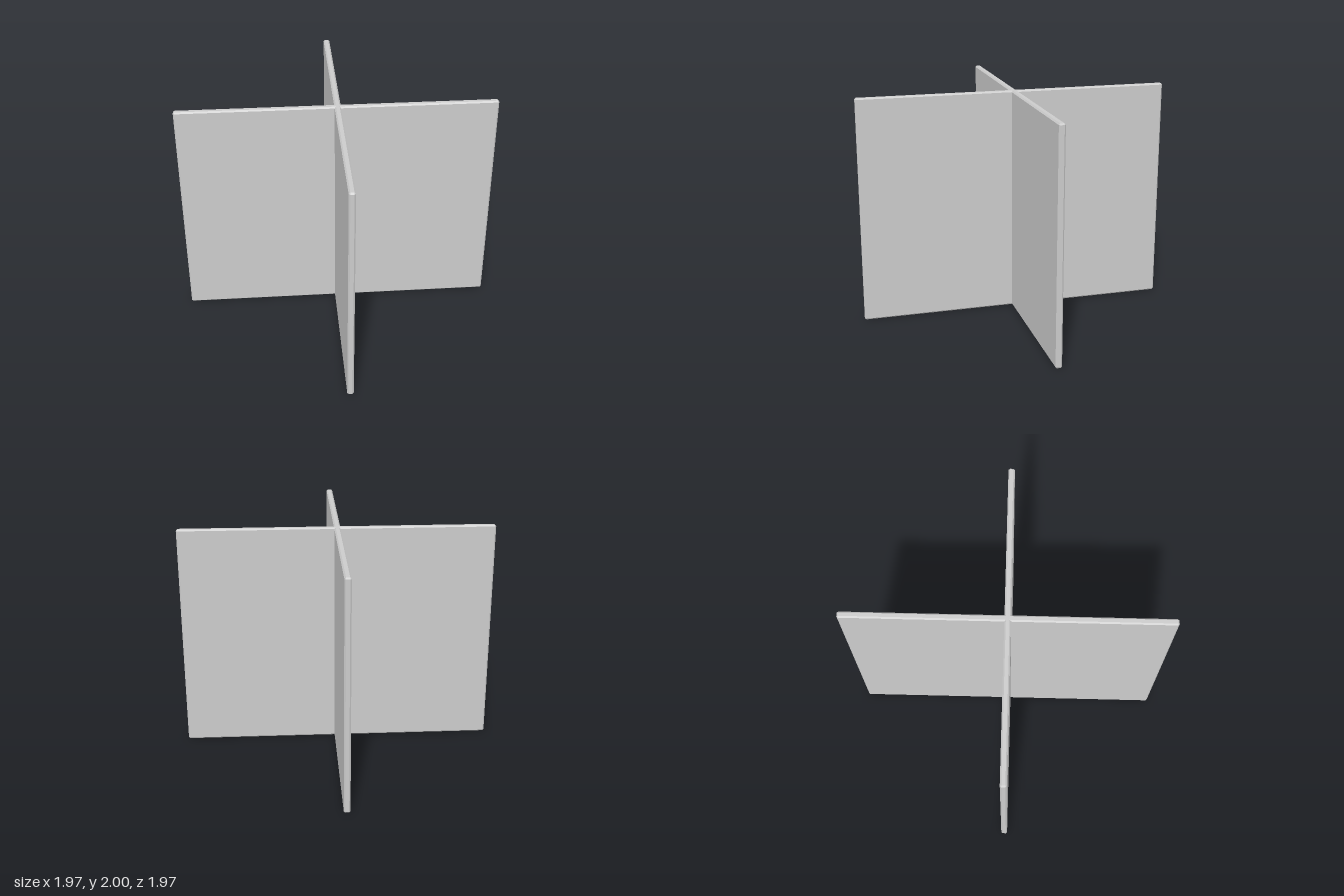
import * as THREE from 'three';
import { ConvexGeometry } from 'three/addons/geometries/ConvexGeometry.js';

// Box with every edge and corner chamfered by c
function chamferedBox(w, h, d, c) {
  const points = [];
  for (const sx of [-1, 1]) for (const sy of [-1, 1]) for (const sz of [-1, 1]) {
    for (let axis = 0; axis < 3; axis++) {
      const half = [w / 2, h / 2, d / 2].map((v, i) => (i === axis ? v : v - c));
      points.push(new THREE.Vector3(sx * half[0], sy * half[1], sz * half[2]));
    }
  }
  return new ConvexGeometry(points);
}

export function createModel() {
  const group = new THREE.Group();
  group.name = 'crossedPanels';
  const material = new THREE.MeshStandardMaterial({ color: 0xcccccc, flatShading: true });
  const geometry = chamferedBox(2.76, 2, 0.055, 0.012);

  // Two upright panels crossing at right angles on the diagonals
  [['panelA', 1], ['panelB', -1]].forEach(([name, side]) => {
    const panel = new THREE.Mesh(geometry, material);
    panel.name = name;
    panel.position.y = 1;
    panel.rotation.y = side * Math.PI / 4;
    group.add(panel);
  });
  return group;
}
